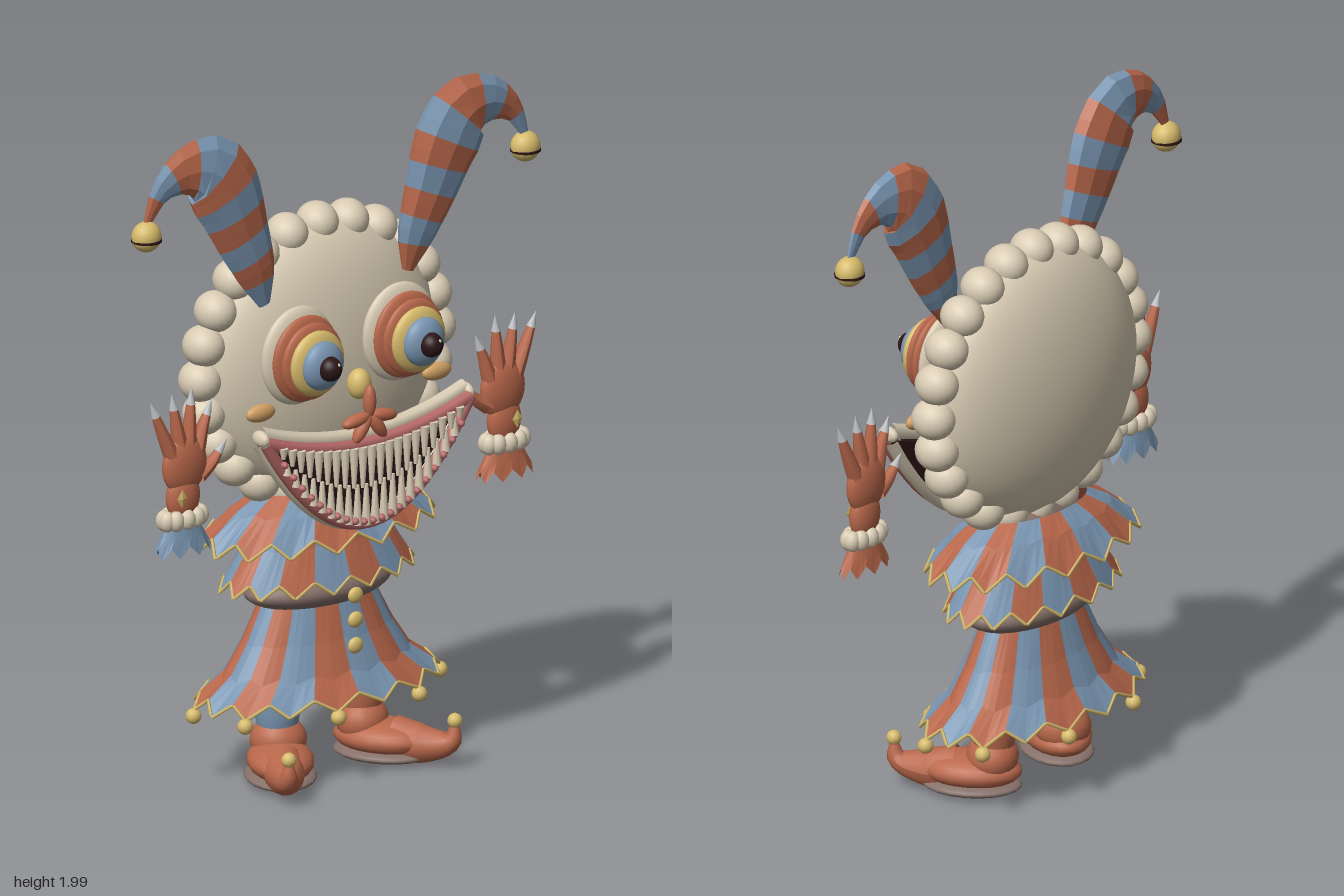
import * as THREE from 'three';

const paint = (name, color, side = THREE.FrontSide) => {
  const m = new THREE.MeshStandardMaterial({ color, side });
  m.name = name;
  return m;
};
const V = (x, y, z) => new THREE.Vector3(x, y, z);

export function createModel() {
  const root = new THREE.Group();
  root.name = 'jester';
  const cream = paint('cream', 0xd9ccb4);
  const rust = paint('rust', 0xb9684b, THREE.DoubleSide);
  const blue = paint('blue', 0x7a96b2, THREE.DoubleSide);
  const gold = paint('gold', 0xd6bb6c);
  const amber = paint('amber', 0xcf9f62);
  const pink = paint('pink', 0xb76a68);
  const dark = paint('dark maroon', 0x2b1516);
  const brown = paint('dull brown', 0x86716a);
  const grey = paint('nail grey', 0xc0c2c6);

  const add = (name, geo, mat, parent = root) => {
    const m = new THREE.Mesh(geo, mat);
    m.name = name;
    parent.add(m);
    return m;
  };
  const ball = (name, mat, [x, y, z], [rx, ry, rz], parent = root, seg = 20) => {
    const m = add(name, new THREE.SphereGeometry(1, seg, Math.round(seg * 0.7)), mat, parent);
    m.position.set(x, y, z);
    m.scale.set(rx, ry, rz);
    return m;
  };
  const group = (name, parent = root) => {
    const g = new THREE.Group();
    g.name = name;
    parent.add(g);
    return g;
  };
  // Tube whose radius follows a list, optionally flattened in z
  const taper = (pts, radii, seg, sides, flat = 1) => {
    const curve = new THREE.CatmullRomCurve3(pts);
    const geo = new THREE.TubeGeometry(curve, seg, 1, sides);
    const p = geo.attributes.position, v = V(0, 0, 0);
    for (let i = 0; i < p.count; i++) {
      const t = Math.floor(i / (sides + 1)) / seg, c = curve.getPointAt(t);
      const f = t * (radii.length - 1), k = Math.min(Math.floor(f), radii.length - 2);
      const r = THREE.MathUtils.lerp(radii[k], radii[k + 1], f - k);
      v.fromBufferAttribute(p, i).sub(c).multiplyScalar(r);
      p.setXYZ(i, c.x + v.x, c.y + v.y, c.z + v.z * flat);
    }
    geo.computeVertexNormals();
    return geo;
  };
  // Pleated ring of pointed panels in alternating colours with a trimmed hem
  const ruffle = (name, profile, n, dip, mats, [cx, cz, depth], trim, parent = root) => {
    const g = group(name, parent), rows = profile.length - 1, cols = 4;
    const at = (i, u, k) => {
      const [r, y] = profile[k], t = k / rows, a = ((i + u) / n) * Math.PI * 2;
      const peak = 1 - Math.abs(2 * u - 1), rr = r * (1 - 0.07 * t * (1 - peak));
      return V(cx + Math.sin(a) * rr, y - dip * peak * t * t, cz + Math.cos(a) * rr * depth);
    };
    mats.forEach((mat, c) => {
      const pos = [];
      for (let i = c; i < n; i += mats.length)
        for (let j = 0; j < cols; j++)
          for (let k = 0; k < rows; k++) {
            const u = j / cols, w = (j + 1) / cols;
            const A = at(i, u, k), B = at(i, w, k), C = at(i, w, k + 1), D = at(i, u, k + 1);
            for (const q of [A, D, B, B, D, C]) pos.push(q.x, q.y, q.z);
          }
      const geo = new THREE.BufferGeometry();
      geo.setAttribute('position', new THREE.Float32BufferAttribute(pos, 3));
      geo.computeVertexNormals();
      add(mat.name + 'Panels', geo, mat, g);
    });
    if (trim) {
      const pts = [];
      for (let i = 0; i < n; i++) pts.push(at(i, 0, rows), at(i, 0.5, rows));
      const curve = new THREE.CatmullRomCurve3(pts, true, 'catmullrom', 0);
      add('hemTrim', new THREE.TubeGeometry(curve, n * 12, 0.005, 5, true), gold, g);
    }
    return (i) => at(i, 0.5, rows);
  };

  // Head and ring of pearls
  ball('head', cream, [0, 1.23, -0.053], [0.405, 0.405, 0.155], root, 48);
  const pearls = group('pearlRing');
  for (let i = 0; i < 24; i++) {
    const a = (i / 24) * Math.PI * 2;
    ball('pearl', cream, [Math.sin(a) * 0.413, 1.23 + Math.cos(a) * 0.392, -0.05], [0.06, 0.06, 0.066], pearls);
  }

  // Eyes of stacked domes, and cheeks
  for (const s of [-1, 1]) {
    const eye = group(s > 0 ? 'leftEye' : 'rightEye');
    const layers = [
      [cream, 0.1, 0.128, 0.146, 0.035], [rust, 0.137, 0.116, 0.128, 0.026],
      [rust, 0.168, 0.106, 0.114, 0.024], [gold, 0.192, 0.092, 0.097, 0.03],
      [blue, 0.218, 0.068, 0.072, 0.036], [dark, 0.252, 0.034, 0.036, 0.036]];
    for (const [m, z, rx, ry, rz] of layers) ball('eyeLayer', m, [s * 0.178, 1.3, z], [rx, ry, rz], eye, 28);
    ball('glint', cream, [s * 0.178 + 0.01, 1.316, 0.28], [0.006, 0.006, 0.005], eye, 8);
    ball('cheek', amber, [s * 0.31, 1.153, 0.1], [0.05, 0.026, 0.02]);
  }

  // Nose: a ball over a five-petalled flower
  ball('noseBall', gold, [0, 1.192, 0.15], [0.035, 0.045, 0.035]);
  const flower = group('noseFlower');
  for (const deg of [90, 190, 236, 304, 350]) {
    const a = (deg * Math.PI) / 180;
    const p = ball('petal', rust, [Math.cos(a) * 0.048, 1.112 + Math.sin(a) * 0.042, 0.2], [0.05, 0.019, 0.02], flower, 12);
    p.rotation.z = a;
  }

  // Grinning mouth
  const mouth = group('mouth'), W = 0.36;
  const top = (x) => 1.025 + 0.07 * (x / W) ** 2;
  const low = (x) => 0.79 + 0.305 * (x / W) ** 2;
  const line = (f, z, dy = 0) => Array.from({ length: 17 }, (_, i) => {
    const x = -W + (i / 8) * W;
    return V(x, f(x) + dy, z);
  });
  const outline = [...line(top, 0), ...line(low, 0).reverse()].map((p) => new THREE.Vector2(p.x, p.y));
  const back = add('mouthInside', new THREE.ExtrudeGeometry(new THREE.Shape(outline), { depth: 0.04, bevelEnabled: false }), dark, mouth);
  back.position.z = 0.135;
  const lip = (name, f, z, dy, r, mat) =>
    add(name, new THREE.TubeGeometry(new THREE.CatmullRomCurve3(line(f, z, dy)), 48, r, 8), mat, mouth);
  lip('upperRim', top, 0.165, 0.022, 0.023, cream);
  lip('upperLip', top, 0.19, 0, 0.02, pink);
  lip('lowerRim', low, 0.16, -0.002, 0.024, cream);
  lip('lowerLip', low, 0.19, 0, 0.019, pink);
  for (const s of [-1, 1]) ball('mouthCorner', cream, [s * W, 1.105, 0.17], [0.018, 0.024, 0.035], mouth, 12);
  for (let i = -10; i <= 10; i++) {
    const x = i * 0.031, h = (top(x) - low(x)) * 0.52;
    for (const up of [0, 1]) {
      const xx = x + up * 0.0155;
      if (xx > 0.32) continue;
      const t = add('tooth', new THREE.CylinderGeometry(0.006, 0.014, h, 8), cream, mouth);
      t.position.set(xx, up ? low(xx) + h / 2 : top(xx) - h / 2, up ? 0.205 : 0.21);
      if (!up) t.rotation.z = Math.PI;
    }
    ball('gumBead', pink, [x, low(x) + 0.012, 0.215], [0.011, 0.011, 0.013], mouth, 8);
  }

  // Striped floppy horns with bells
  for (const s of [-1, 1]) {
    const horn = group(s > 0 ? 'leftHorn' : 'rightHorn');
    const path = [[0.252, 1.45], [0.285, 1.56], [0.335, 1.68], [0.385, 1.8], [0.445, 1.89], [0.53, 1.905], [0.615, 1.862], [0.667, 1.77]]
      .map(([x, y]) => V(s * x, y, 0.04));
    const geo = taper(path, [0.02, 0.065, 0.085, 0.102, 0.118, 0.112, 0.072, 0.034, 0.012], 20, 9, 0.42);
    for (let i = 0; i < 10; i++) geo.addGroup(i * 2 * 54, 2 * 54, (i + (s > 0 ? 0 : 1)) % 2);
    const flat = geo.toNonIndexed();
    flat.computeVertexNormals();
    add('stripedHorn', flat, [rust, blue], horn);
    ball('bell', gold, [s * 0.667, 1.737, 0.04], [0.045, 0.045, 0.04], horn);
    const slot = add('bellSlot', new THREE.CylinderGeometry(0.044, 0.044, 0.007, 20), dark, horn);
    slot.position.set(s * 0.667, 1.727, 0.04);
  }

  // Body, collars, skirt
  const mid = [0, -0.052, 0.53];
  ball('torso', brown, [0, 0.66, -0.05], [0.2, 0.2, 0.11]);
  ball('waist', brown, [0, 0.55, -0.048], [0.245, 0.066, 0.13], root, 32);
  ruffle('collar', [[0.2, 0.85], [0.29, 0.81], [0.395, 0.745]], 16, 0.045, [blue, rust], mid, true);
  ruffle('cape', [[0.19, 0.8], [0.245, 0.7], [0.325, 0.605]], 16, 0.04, [rust, blue], mid, true);
  const hem = ruffle('skirt', [[0.19, 0.52], [0.25, 0.41], [0.315, 0.325], [0.41, 0.268]], 16, 0.038, [blue, rust], mid, true);
  for (let i = 1; i < 16; i += 2) {
    const p = hem(i);
    ball('hemBell', gold, [p.x, 0.213, p.z], [0.023, 0.023, 0.023], root, 12);
  }
  for (const y of [0.555, 0.482, 0.405]) ball('button', gold, [0, y, 0.133], [0.025, 0.024, 0.014]);

  // Legs and curled shoes
  for (const s of [-1, 1]) {
    ball('leg', s > 0 ? rust : blue, [s * 0.147, 0.23, -0.04], [0.067, 0.17, 0.065]);
    const shoe = group(s > 0 ? 'leftShoe' : 'rightShoe');
    shoe.position.set(s * 0.148, 0, -0.035);
    shoe.rotation.y = s * 0.53;
    ball('sole', brown, [0, 0.024, 0.06], [0.104, 0.024, 0.145], shoe);
    ball('shoeBody', rust, [0, 0.068, 0.06], [0.096, 0.052, 0.145], shoe);
    ball('ankle', rust, [0, 0.11, 0], [0.082, 0.07, 0.075], shoe);
    const toe = [V(0, 0.07, 0.1), V(0, 0.06, 0.2), V(0, 0.08, 0.275), V(0, 0.13, 0.285)];
    add('curledToe', taper(toe, [0.062, 0.058, 0.038, 0.012], 16, 14), rust, shoe);
    ball('toeBell', gold, [0, 0.142, 0.285], [0.022, 0.022, 0.022], shoe, 12);
  }

  // Floating hands with cuffs and sleeves
  const fingers = [
    [[0.605, 1.08], [0.64, 1.16], [0.662, 1.212]], [[0.575, 1.1], [0.59, 1.18], [0.597, 1.22]],
    [[0.545, 1.1], [0.54, 1.18], [0.537, 1.225]], [[0.515, 1.08], [0.495, 1.145], [0.48, 1.182]],
    [[0.51, 1.0], [0.465, 1.03], [0.438, 1.06]]];
  for (const s of [-1, 1]) {
    const hand = group(s > 0 ? 'leftHand' : 'rightHand'), z = 0.075;
    ball('palm', rust, [s * 0.56, 1.045, z], [0.075, 0.09, 0.033], hand);
    ball('wrist', rust, [s * 0.565, 0.95, z], [0.056, 0.075, 0.032], hand);
    for (const f of fingers) {
      const [a, b, c] = f.map(([x, y]) => V(s * x, y, z));
      add('finger', taper([a, b, c], [0.024, 0.021, 0.017, 0.012], 10, 8), rust, hand);
      const dir = c.clone().sub(b).normalize();
      const nail = add('nail', new THREE.ConeGeometry(0.014, 0.05, 8), grey, hand);
      nail.position.copy(c).addScaledVector(dir, 0.02);
      nail.quaternion.setFromUnitVectors(V(0, 1, 0), dir);
    }
    const gem = add('palmDiamond', new THREE.OctahedronGeometry(1), gold, hand);
    gem.position.set(s * 0.59, 0.955, z + 0.031);
    gem.scale.set(0.018, 0.028, 0.005);
    for (let i = 0; i < 10; i++) {
      const a = (i / 10) * Math.PI * 2;
      ball('cuffPearl', cream, [s * 0.567 + Math.sin(a) * 0.062, 0.887, z + Math.cos(a) * 0.025], [0.024, 0.031, 0.024], hand, 12);
    }
    ruffle('sleeve', [[0.05, 0.885], [0.075, 0.84], [0.098, 0.81]], 9, 0.032, [s > 0 ? rust : blue], [s * 0.567, z, 0.42], false, hand);
  }
  return root;
}
